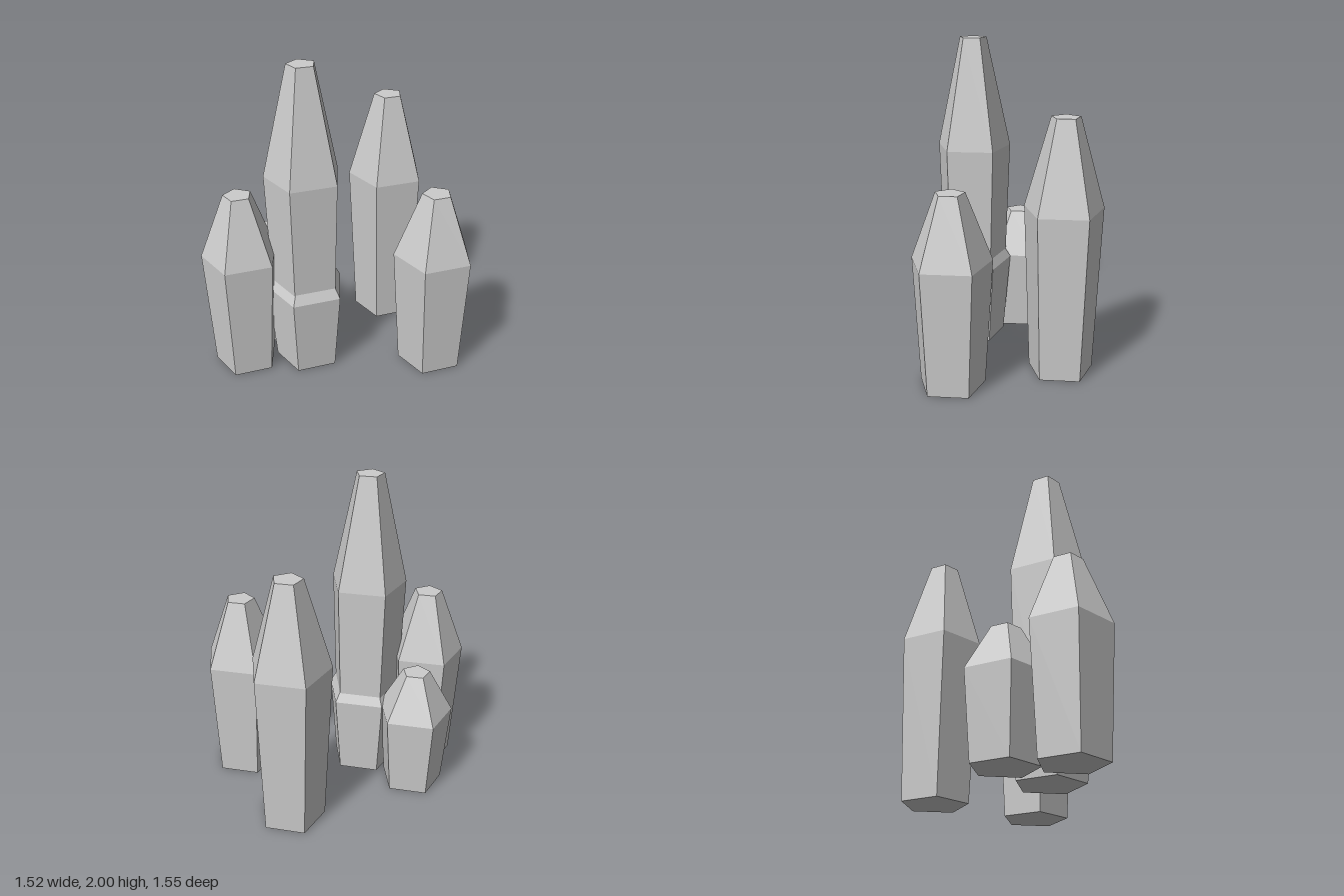
import * as THREE from 'three';

const material = new THREE.MeshStandardMaterial({ color: 0xcccccc, flatShading: true });

// Five-sided crystal: narrow foot, widest at 65% of its height, small flat tip.
// One corner points to +x.
function crystal(name, x, z, radius, height) {
  const profile = [
    [0, 0],
    [0.82 * radius, 0],
    [radius, 0.65 * height],
    [0.36 * radius, height],
    [0, height],
  ].map(([r, y]) => new THREE.Vector2(r, y));
  const mesh = new THREE.Mesh(new THREE.LatheGeometry(profile, 5, Math.PI / 2), material);
  mesh.name = name;
  mesh.position.set(x, 0, z);
  return mesh;
}

export function createModel() {
  const group = new THREE.Group();
  group.name = 'crystalCluster';
  group.add(
    crystal('tallCrystal', -0.17, 0.263, 0.247, 2),
    crystal('tallCrystalCollar', -0.167, 0.263, 0.257, 0.8), // short crystal around the tall one's foot
    crystal('backCrystal', -0.093, -0.537, 0.254, 1.6),
    crystal('leftCrystal', 0.505, -0.17, 0.255, 1.2),
    crystal('frontCrystal', -0.468, 0.537, 0.249, 1.2),
    crystal('smallCrystal', -0.566, 0.193, 0.243, 0.8),
  );
  return group;
}
